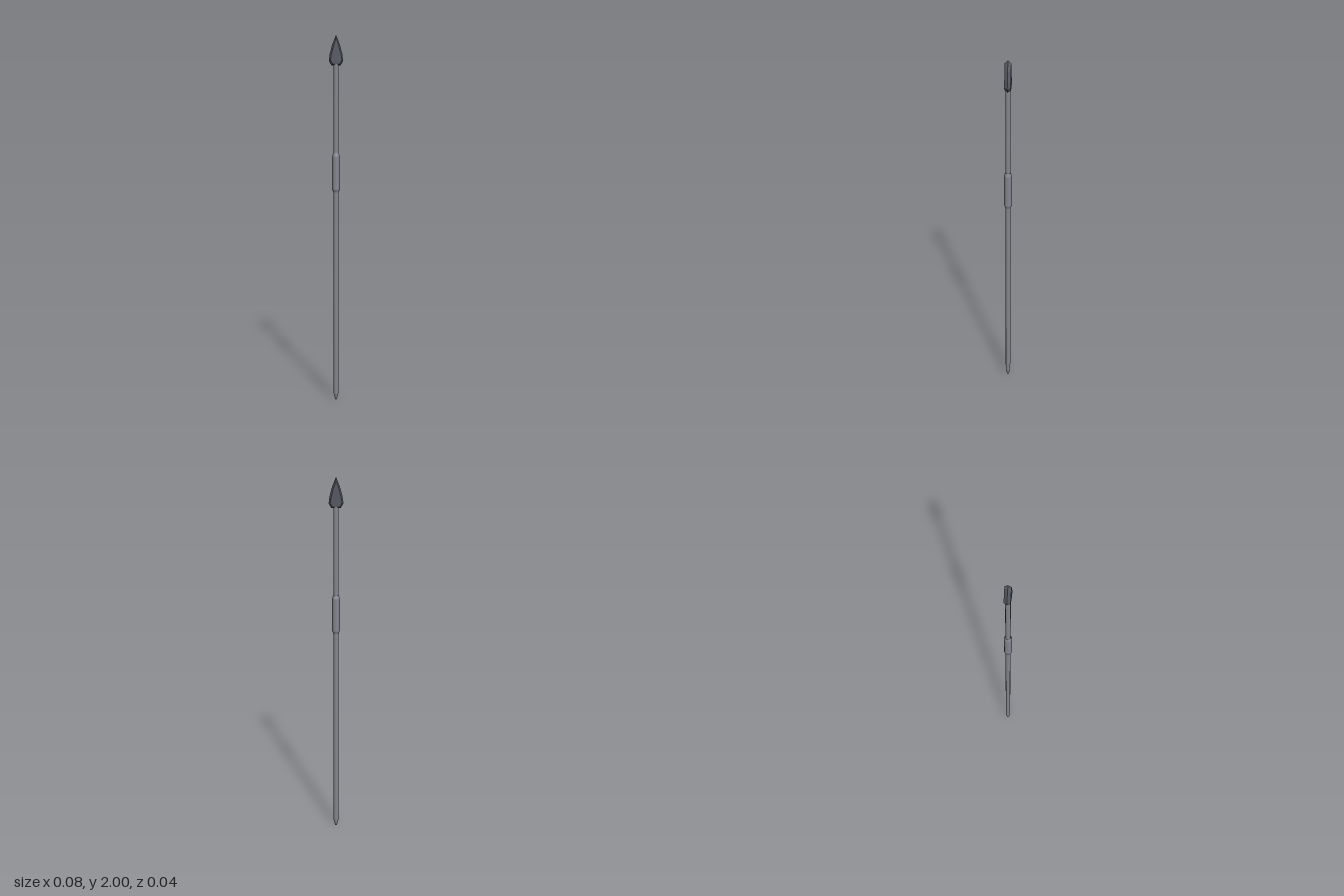
import * as THREE from 'three';

export function createModel() {
  const group = new THREE.Group();
  const shaftMat = new THREE.MeshStandardMaterial({ color: 0x83878e });
  shaftMat.name = 'shaft grey';
  const headMat = new THREE.MeshStandardMaterial({ color: 0x53585f, flatShading: true });
  headMat.name = 'head dark grey';

  // Round section between two heights
  function rod(name, y0, y1, r0, r1) {
    const mesh = new THREE.Mesh(new THREE.CylinderGeometry(r1, r0, y1 - y0, 12), shaftMat);
    mesh.position.y = (y0 + y1) / 2;
    mesh.name = name;
    group.add(mesh);
  }

  // Shaft with a tapered foot
  rod('shaftFoot', 0, 0.035, 0.005, 0.0135);
  rod('shaft', 0.035, 1.85, 0.0135, 0.0135);

  // Thicker grip with chamfered ends
  rod('gripLowerCollar', 1.168, 1.184, 0.0145, 0.0205);
  rod('grip', 1.184, 1.362, 0.0205, 0.0205);
  rod('gripUpperCollar', 1.362, 1.38, 0.0205, 0.0145);

  // Spearhead half outline, bottom to tip: [edge x, edge y, face x, face y]
  const half = [
    [0.024, 1.842, 0.019, 1.85],
    [0.038, 1.866, 0.03, 1.869],
    [0.033, 1.902, 0.025, 1.9],
    [0.02, 1.95, 0.013, 1.946],
  ];
  const tip = [0, 2, 0, 1.984];
  const outline = [...half, tip, ...half.slice().reverse().map(([a, b, c, d]) => [-a, b, -c, d])];
  const depth = 0.016, n = outline.length;
  const positions = [], index = [];
  for (const [ex, ey, fx, fy] of outline) positions.push(ex, ey, 0, fx, fy, depth, fx, fy, -depth);

  // Bevels on both sides of the cutting edge
  for (let i = 0; i < n; i++) {
    const a = i * 3, b = ((i + 1) % n) * 3;
    index.push(a, b, b + 1, a, b + 1, a + 1);
    index.push(b, a, a + 2, b, a + 2, b + 2);
  }
  // Flat front and back faces
  for (let i = 1; i < n - 1; i++) {
    index.push(1, i * 3 + 1, i * 3 + 4, 2, i * 3 + 5, i * 3 + 2);
  }
  const geo = new THREE.BufferGeometry();
  geo.setAttribute('position', new THREE.Float32BufferAttribute(positions, 3));
  geo.setIndex(index);
  geo.computeVertexNormals();
  const head = new THREE.Mesh(geo, headMat);
  head.name = 'spearhead';
  group.add(head);

  return group;
}
